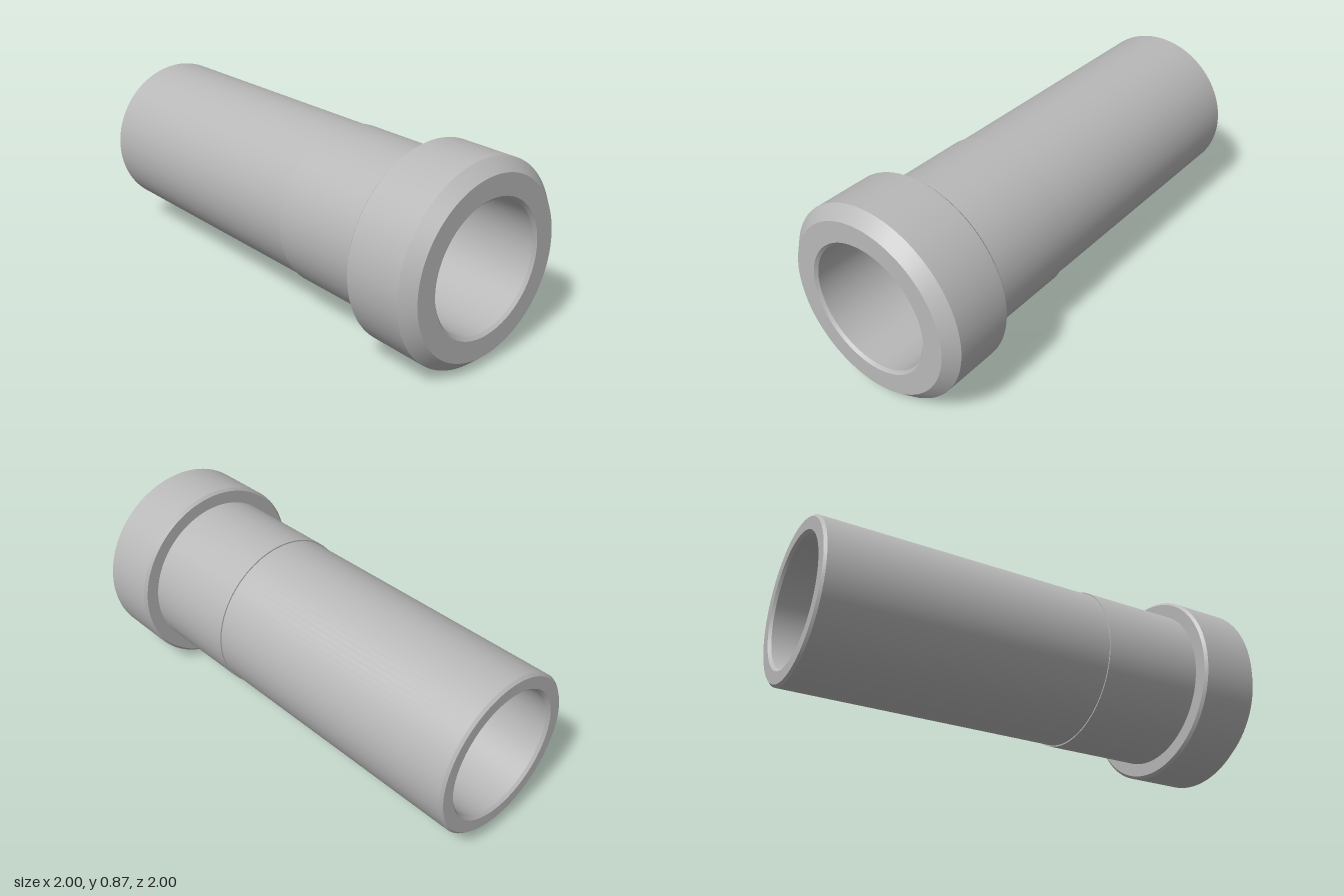
import * as THREE from 'three';
import { toCreasedNormals } from 'three/addons/utils/BufferGeometryUtils.js';

// Revolve a [radius, position along axis] profile, keeping chamfer edges sharp
function turned(name, profile, material) {
  const points = profile.map(([r, s]) => new THREE.Vector2(r, s));
  const geometry = toCreasedNormals(new THREE.LatheGeometry(points, 96), Math.PI / 8);
  const mesh = new THREE.Mesh(geometry, material);
  mesh.name = name;
  return mesh;
}

export function createModel() {
  const grey = new THREE.MeshStandardMaterial({ color: 0xb8b8b8 });
  grey.name = 'grey metal';

  const bore = 0.28;
  const back = -1.068, joint = 0.233, collarBack = 0.707, front = 1.032;

  const fitting = new THREE.Group();
  fitting.name = 'pipeFitting';
  fitting.add(
    // Long pipe with a chamfered rear mouth
    turned('pipe', [
      [bore + 0.012, back], [0.346, back], [0.357, back + 0.011], [0.357, joint],
    ], grey),
    // Slightly wider sleeve in front of the pipe
    turned('sleeve', [[0.357, joint], [0.363, joint], [0.363, collarBack]], grey),
    // Collar with a small rear chamfer and a wide front chamfer
    turned('collar', [
      [0.363, collarBack], [0.422, collarBack], [0.434, collarBack + 0.012],
      [0.434, front - 0.051], [0.383, front], [bore + 0.012, front],
    ], grey),
    // Through hole, countersunk at both ends
    turned('bore', [
      [bore + 0.012, front], [bore, front - 0.012],
      [bore, back + 0.012], [bore + 0.012, back],
    ], grey),
  );

  // Lay the axis flat along the diagonal between +x and +z
  fitting.quaternion.setFromUnitVectors(
    new THREE.Vector3(0, 1, 0), new THREE.Vector3(1, 0, 1).normalize());
  fitting.position.y = 0.434;

  const model = new THREE.Group();
  model.name = 'model';
  model.add(fitting);
  return model;
}
